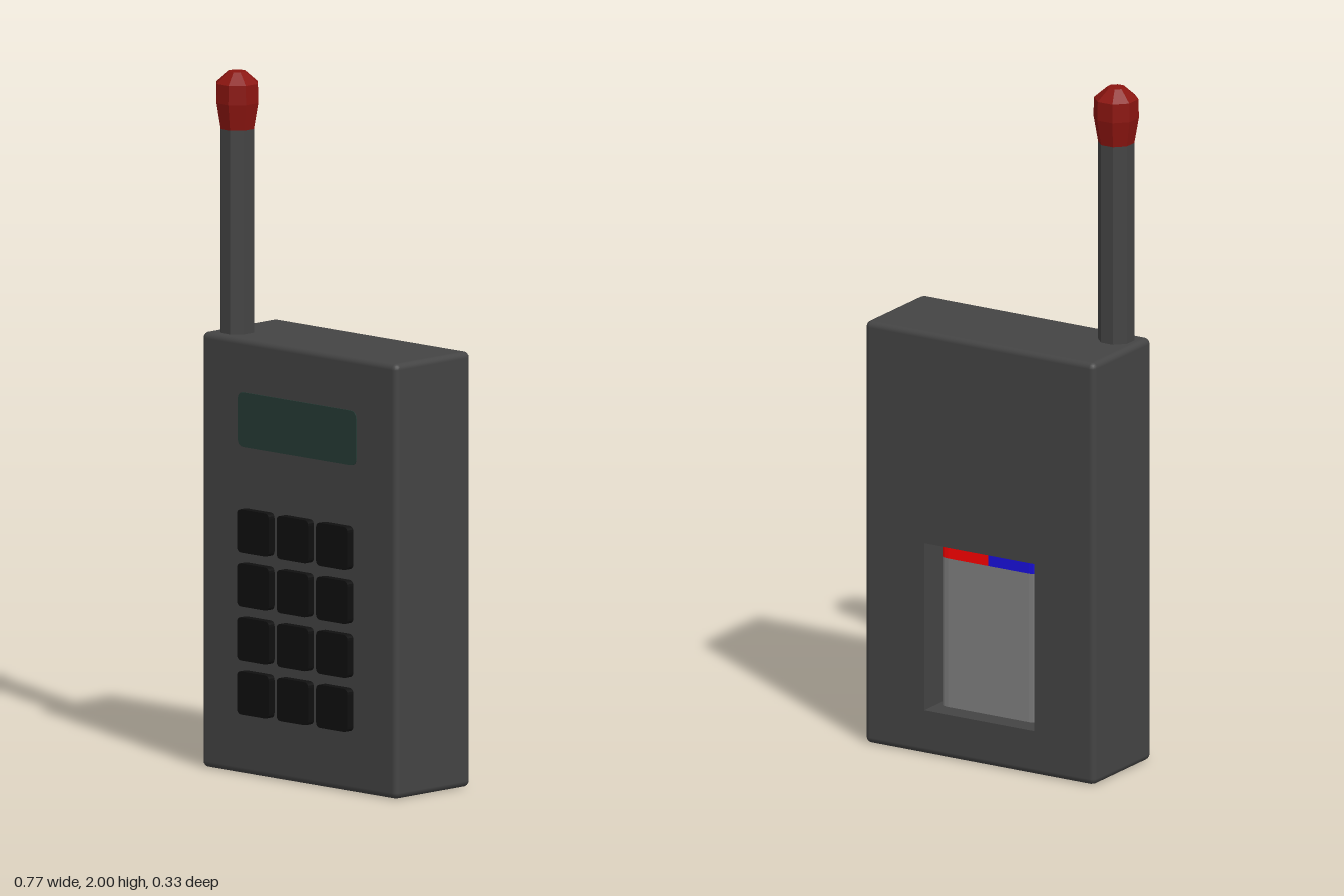
import * as THREE from 'three';
import { RoundedBoxGeometry } from 'three/addons/geometries/RoundedBoxGeometry.js';

const mat = (color, extra = {}) => {
  const m = new THREE.MeshStandardMaterial({ ...extra });
  m.color.set(color);
  return m;
};

// Rectangle x0..x1, y0..y1 with a corner radius for each side (left, right)
function rectShape(x0, y0, x1, y1, rl, rr = rl) {
  const s = new THREE.Shape();
  s.moveTo(x0 + rl, y0);
  s.lineTo(x1 - rr, y0);
  if (rr) s.quadraticCurveTo(x1, y0, x1, y0 + rr);
  s.lineTo(x1, y1 - rr);
  if (rr) s.quadraticCurveTo(x1, y1, x1 - rr, y1);
  s.lineTo(x0 + rl, y1);
  if (rl) s.quadraticCurveTo(x0, y1, x0, y1 - rl);
  s.lineTo(x0, y0 + rl);
  if (rl) s.quadraticCurveTo(x0, y0, x0 + rl, y0);
  return s;
}

const extrude = (shape, depth) =>
  new THREE.ExtrudeGeometry(shape, { depth, bevelEnabled: false, curveSegments: 4 });

export function createModel() {
  const group = new THREE.Group();
  const add = (name, geometry, material, x = 0, y = 0, z = 0) => {
    const mesh = new THREE.Mesh(geometry, material);
    mesh.name = name;
    mesh.position.set(x, y, z);
    group.add(mesh);
    return mesh;
  };

  const W = 0.77, H = 1.25, front = 0.14, back = -0.165, R = 0.018;
  const casing = mat(0x444444);

  // Casing: rounded box whose flat back panel is taken out
  const D = front - back;
  const box = new RoundedBoxGeometry(W, H, D, 2, R);
  const p = box.attributes.position, n = box.attributes.normal;
  const pos = [], nor = [];
  for (let i = 0; i < p.count; i += 3) {
    const tri = [i, i + 1, i + 2];
    if (tri.every(k => p.getZ(k) < -D / 2 + 1e-4)) continue;
    for (const k of tri) {
      pos.push(p.getX(k), p.getY(k), p.getZ(k));
      nor.push(n.getX(k), n.getY(k), n.getZ(k));
    }
  }
  const shell = new THREE.BufferGeometry();
  shell.setAttribute('position', new THREE.Float32BufferAttribute(pos, 3));
  shell.setAttribute('normal', new THREE.Float32BufferAttribute(nor, 3));
  add('casing', shell, casing, 0, H / 2, (front + back) / 2);

  // Back panel with the battery opening
  const bx = 0.185, by0 = 0.13, by1 = 0.625, bayDepth = 0.165;
  const panel = rectShape(-W / 2 + R, R, W / 2 - R, H - R, 0);
  panel.holes.push(rectShape(-bx, by0, bx, by1, 0));
  add('backPanel', new THREE.ShapeGeometry(panel).rotateY(Math.PI), casing, 0, 0, back);

  // Battery bay: inward-facing walls and floor, open at the back
  const bay = new THREE.BoxGeometry(bx * 2, by1 - by0, bayDepth);
  bay.setIndex(Array.from(bay.index.array).slice(0, 30));
  bay.clearGroups();
  add('batteryBay', bay, mat(0x444444, { side: THREE.BackSide }),
    0, (by0 + by1) / 2, back + bayDepth / 2);

  // Battery with rounded long edges and two coloured terminals on its top
  const cell = 0.165, capY = 0.575;
  const upright = (shape, h) => extrude(shape, h).rotateX(-Math.PI / 2);
  add('battery', upright(rectShape(-cell, 0, cell, 0.115, 0.03), capY - by0 - 0.005),
    mat(0x808080), 0, by0 + 0.005, 0);
  add('redTerminal', upright(rectShape(0, 0, cell, 0.115, 0, 0.03), 0.045),
    mat(0xff0000), 0, capY, 0);
  add('blueTerminal', upright(rectShape(-cell, 0, 0, 0.115, 0.03, 0), 0.045),
    mat(0x1a10e0), 0, capY, 0);

  // Display
  add('display', extrude(rectShape(-0.235, 0.94, 0.23, 1.097, 0.022), 0.005),
    mat(0x263c36), 0, 0, front - 0.002);

  // Keypad: four rows of three keys
  const keyMat = mat(0x101010);
  const keyGeo = extrude(rectShape(-0.062, -0.062, 0.062, 0.062, 0.016), 0.03);
  for (let row = 0; row < 4; row++)
    for (let col = -1; col <= 1; col++)
      add('key', keyGeo, keyMat, col * 0.155, 0.238 + row * 0.155, front - 0.006);

  // Eight-sided antenna and its tip
  const oct = (points) => {
    const profile = points.map(([r, y]) => new THREE.Vector2(r / Math.cos(Math.PI / 8), y));
    return new THREE.LatheGeometry(profile, 8, Math.PI / 8);
  };
  const ax = -0.311, az = 0.068;
  add('antenna', oct([[0.048, 1.2], [0.048, 1.84]]),
    mat(0x444444, { flatShading: true }), ax, 0, az);
  add('antennaTip', oct([[0.048, 1.835], [0.06, 1.91], [0.059, 1.965], [0.024, 1.998], [0, 2]]),
    mat(0x8b1510, { flatShading: true }), ax, 0, az);

  return group;
}
